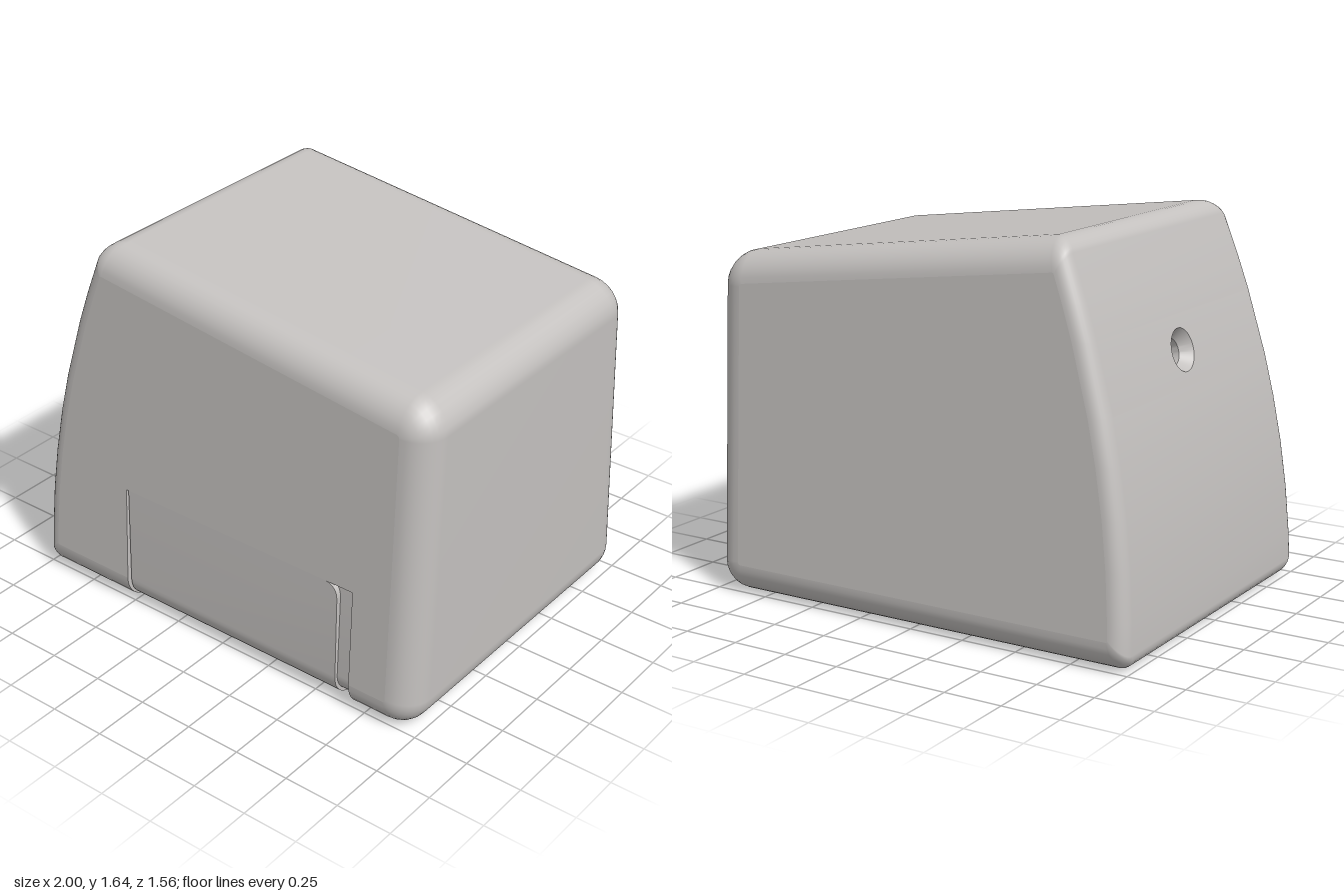
import * as THREE from 'three';
import { toCreasedNormals } from 'three/addons/utils/BufferGeometryUtils.js';

const K = 8;                                   // steps per rounded edge
const SLOT = { x0: -0.51, x1: 0.69, top: 0.57, back: -0.62 };
const HOLE_ROWS = [1.26, 0.98];                // rows framing the hole
const halfDepth = y => 0.787 - 0.055 * y;      // sides lean inwards
const leftX = y => -1 + 0.128 * y * y;         // bowed left wall

// Outline in x/y, counter-clockwise; s = 0 outermost, 1 at the flat faces.
// Each point also carries its edge radius r.
function outline(s) {
  const pts = [], big = 0.13, small = 0.07, f = 1 - 0.9 * s;
  const add = (x, y, r) => pts.push({ x, y, r });
  const corner = (x, y, u, v, t, r0, r1) => {
    for (let i = 0; i <= 6; i++) {
      const a = i / 6 * Math.PI / 2, p = t * f * (1 - Math.sin(a)), q = t * f * (1 - Math.cos(a));
      add(x + u[0] * p + v[0] * q, y + u[1] * p + v[1] * q, r0 + (r1 - r0) * i / 6);
    }
  };
  const l = small * s, d = big * s, topY = x => 1.567 - 0.1216 * x - d;
  let dx = -0.65;
  for (let i = 0; i < 8; i++) dx = leftX(topY(dx)) + l;
  corner(leftX(d) + l, d, [0, 1], [1, 0], 0.07, small, big);
  const notch = pts.length;
  add(SLOT.x0, d, big);
  add(SLOT.x1, d, big);
  corner(1 - d, d, [-1, 0], [0, 1], 0.13, big, big);
  corner(1 - d, topY(1 - d), [0, -1], [-0.993, 0.12], 0.13, big, big);
  corner(dx, topY(dx), [0.993, -0.12], [-0.38, -0.92], 0.07, big, small);
  let hole = 0;
  for (const y of [1.4, ...HOLE_ROWS, 0.8, 0.6, 0.4, 0.2]) {
    if (y === HOLE_ROWS[0]) hole = pts.length;
    add(leftX(y) + l, y, small);
  }
  return { pts, notch, hole };
}

// Rounded rim and walls, left open at the door and around the hole
function shellGeometry() {
  const pos = [], full = [], kept = [];
  const { notch, hole, pts: { length: n } } = outline(0);
  for (let i = 0; i <= 2 * K + 1; i++) {
    const side = i <= K ? 1 : -1;
    const a = (i <= K ? K - i : i - K - 1) / K * Math.PI / 2;
    for (const p of outline(1 - Math.cos(a)).pts)
      pos.push(p.x, p.y, side * (halfDepth(p.y) - p.r * (1 - Math.sin(a))));
  }
  for (let i = 0; i <= 2 * K; i++) for (let j = 0; j < n; j++) {
    const a = i * n + j, d = i * n + (j + 1) % n, b = a + n, c = d + n;
    full.push(a, b, c, a, c, d);
    const open = (j === notch && i <= K) || (j === hole && i === K);
    if (!open) kept.push(a, b, c, a, c, d);
  }
  const g = new THREE.BufferGeometry();
  g.setAttribute('position', new THREE.Float32BufferAttribute(pos, 3));
  g.setIndex(full);
  g.computeVertexNormals();
  g.setIndex(kept);
  return g;
}

// Move the vertices of a geometry by a rule
function warp(g, rule) {
  const p = g.attributes.position;
  for (let i = 0; i < p.count; i++) p.setXYZ(i, ...rule(p.getX(i), p.getY(i), p.getZ(i)));
  g.computeVertexNormals();
  return g;
}

// Flat leaning face, front one with the door opening
function faceGeometry(front) {
  const { pts, notch } = outline(1);
  const v = pts.map(p => new THREE.Vector2(p.x, p.y));
  if (front) v.splice(notch + 1, 0, new THREE.Vector2(SLOT.x0, SLOT.top), new THREE.Vector2(SLOT.x1, SLOT.top));
  const g = warp(new THREE.ShapeGeometry(new THREE.Shape(v)), (x, y) => [x, y, halfDepth(y)]);
  // mirror the back face by turning it round and flipping x
  return front ? g : warp(g.rotateY(Math.PI), (x, y, z) => [-x, y, z]);
}

// Solid following the front and underside, set in by inset(y)
function sliceGeometry(x0, x1, inset, top, back) {
  const s = new THREE.Shape();
  s.moveTo(halfDepth(top) - inset(top), top);
  for (let i = 0; i <= 10; i++) {
    const a = i / 10 * Math.PI / 2, d = inset(0.13), r = 0.13 - d;
    const y = 0.13 - r * Math.sin(a);
    s.lineTo(halfDepth(y) - 0.13 + r * Math.cos(a), y);
  }
  s.lineTo(back, inset(0.13));
  s.lineTo(back, 0.2);
  s.lineTo(0.5, top);
  const g = new THREE.ExtrudeGeometry(s, { depth: x1 - x0, bevelEnabled: false });
  return toCreasedNormals(g.rotateY(-Math.PI / 2).translate(x1, 0, 0), 0.5);
}

export function createModel() {
  const group = new THREE.Group();
  const shellGrey = new THREE.MeshStandardMaterial({ color: 0xc4c1bf, side: THREE.DoubleSide });
  shellGrey.name = 'shellGrey';
  const add = (name, geometry) => {
    const m = new THREE.Mesh(geometry, shellGrey);
    m.name = name;
    group.add(m);
    return m;
  };

  add('roundedShell', shellGeometry());
  add('frontFace', faceGeometry(true));
  add('backFace', faceGeometry(false));

  // Recess behind the door, with its side walls, ceiling and rear sill
  const { x0, x1, top, back } = SLOT, w = x1 - x0, mid = (x0 + x1) / 2;
  add('slotFloor', sliceGeometry(x0, x1, () => 0.025, top, back));
  add('slotWallRight', sliceGeometry(x0 - 0.003, x0, () => 0.001, top, back));
  add('slotWallLeft', sliceGeometry(x1, x1 + 0.003, () => 0.001, top, back));
  add('slotCeiling', new THREE.BoxGeometry(w, 0.004, 0.04))
    .position.set(mid, top + 0.002, halfDepth(top) - 0.021);
  add('rearSill', new THREE.BoxGeometry(w, 0.05, 0.04)).position.set(mid, 0.025, back - 0.02);

  // Door panel wrapping from the front to the underside, upper corner rounded
  const doorInset = y => 0.01 * (top - y) / 0.44;
  const dl = -0.497, dr = 0.615, split = 0.5;
  add('doorPanel', sliceGeometry(dl, dr, doorInset, split, back + 0.01));
  const s = new THREE.Shape();
  s.moveTo(dl, split);
  s.lineTo(dr, split);
  s.quadraticCurveTo(dr, top, 0.55, top);
  s.lineTo(dl, top);
  add('doorTop', warp(new THREE.ExtrudeGeometry(s, { depth: 0.03, bevelEnabled: false }),
    (x, y, z) => [x, y, halfDepth(y) - doorInset(y) - 0.03 + z]));

  // Left wall patch with the countersunk hole
  const [yt, yb] = HOLE_ROWS, yc = (yt + yb) / 2, slope = (leftX(yt) - leftX(yb)) / (yt - yb);
  const wall = y => leftX(yb) + slope * (y - yb), e = y => halfDepth(y) - 0.07;
  const patch = new THREE.Shape([[-e(yb), yb], [e(yb), yb], [e(yt), yt], [-e(yt), yt]]
    .map(p => new THREE.Vector2(...p)));
  const cut = new THREE.Path();
  cut.absellipse(-0.02, yc, 0.09, 0.09 / Math.hypot(1, slope), 0, Math.PI * 2, true);
  patch.holes.push(cut);
  const patchGeometry = warp(new THREE.ShapeGeometry(patch, 24), (z, y) => [wall(y), y, z]);
  const nrm = patchGeometry.attributes.normal, n = new THREE.Vector3();
  for (let i = 0; i < nrm.count; i++) {
    n.set(-1, 0.256 * patchGeometry.attributes.position.getY(i), 0).normalize();
    nrm.setXYZ(i, n.x, n.y, n.z);
  }
  add('leftWallPatch', patchGeometry);
  const sink = [[0, -0.12], [0.055, -0.12], [0.055, -0.05], [0.09, 0]].map(p => new THREE.Vector2(...p));
  const hole = add('countersunkHole', toCreasedNormals(new THREE.LatheGeometry(sink, 48), 0.4));
  hole.position.set(wall(yc), yc, -0.02);
  hole.quaternion.setFromUnitVectors(new THREE.Vector3(0, 1, 0), new THREE.Vector3(-1, slope, 0).normalize());

  return group;
}
